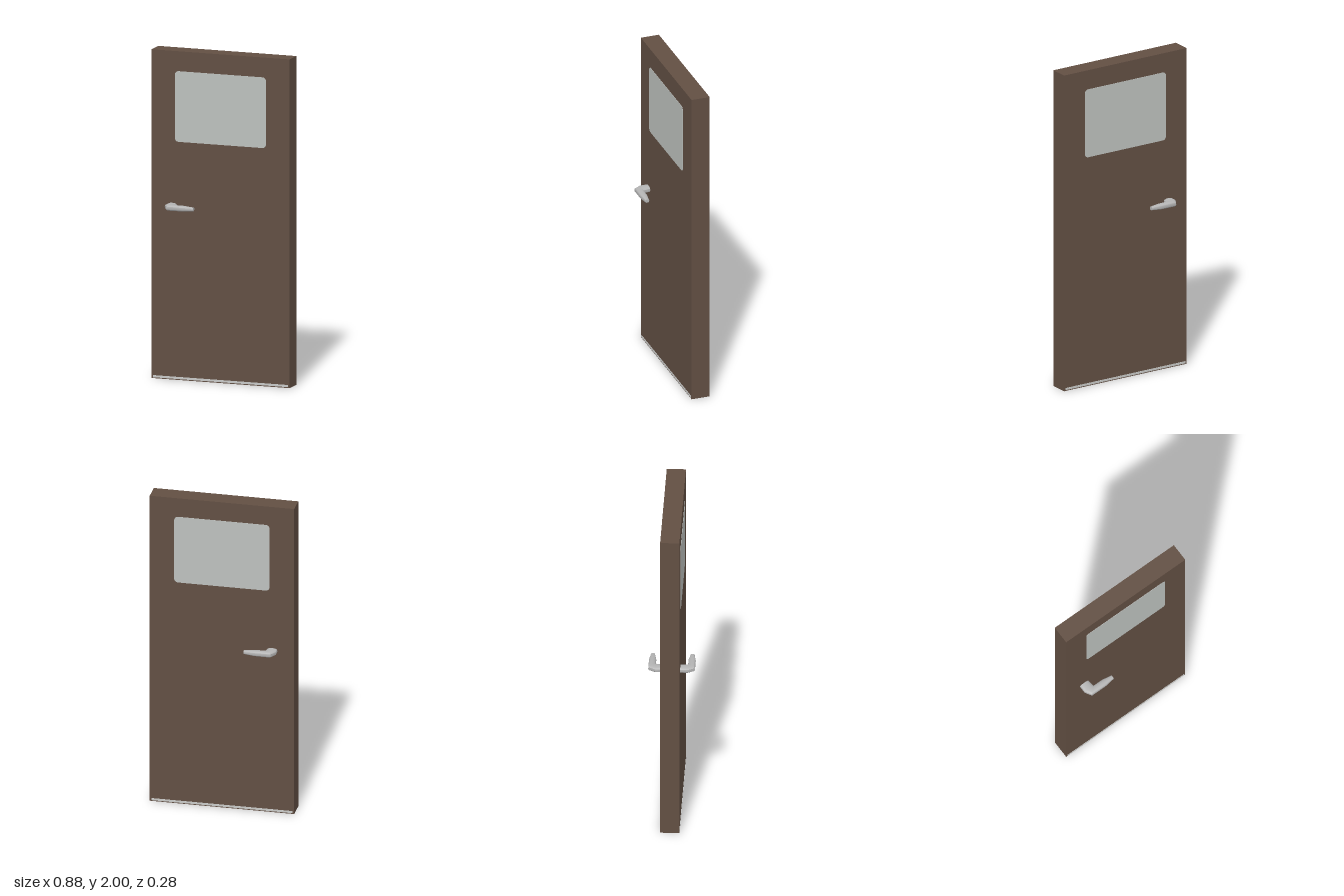
import * as THREE from 'three';
import { toCreasedNormals } from 'three/addons/utils/BufferGeometryUtils.js';

const mat = (name, color) => new THREE.MeshStandardMaterial({ name, color });

const FRONT = 0.052, BACK = -0.063;

// Rounded rectangle centred on the origin
function roundedRect(w, h, r) {
  const s = new THREE.Shape(), x = w / 2, y = h / 2;
  s.moveTo(-x + r, -y);
  s.lineTo(x - r, -y);
  s.absarc(x - r, -y + r, r, -Math.PI / 2, 0);
  s.absarc(x - r, y - r, r, 0, Math.PI / 2);
  s.absarc(-x + r, y - r, r, Math.PI / 2, Math.PI);
  s.absarc(-x + r, -y + r, r, Math.PI, Math.PI * 1.5);
  return s;
}

// Lever handle lofted through rings: [outer x, outer z, inner x, inner z, half height]
function leverGeometry(side, base) {
  const rings = [
    [-0.34, base, -0.278, base, 0.0175],
    [-0.34, 0.098, -0.271, 0.092, 0.0175],
    [-0.315, 0.14, -0.27, 0.096, 0.0175],
    [-0.21, 0.14, -0.21, 0.096, 0.0165],
    [-0.147, 0.131, -0.147, 0.106, 0.0105],
  ];
  const n = 16, pos = [], idx = [];
  const soft = (v) => Math.sign(v) * Math.abs(v) ** 0.75;
  const tri = (a, b, c) => (side > 0 ? idx.push(a, b, c) : idx.push(a, c, b));
  for (const [ox, oz, ix, iz, h] of rings) {
    for (let i = 0; i < n; i++) {
      const a = (i / n) * Math.PI * 2;
      const t = 0.5 + 0.5 * soft(Math.cos(a));
      pos.push(ix + (ox - ix) * t, h * soft(Math.sin(a)), side * (iz + (oz - iz) * t));
    }
  }
  for (let r = 0; r < rings.length - 1; r++) {
    for (let i = 0; i < n; i++) {
      const a = r * n + i, b = r * n + ((i + 1) % n);
      tri(a, a + n, b);
      tri(b, a + n, b + n);
    }
  }
  // End cap at the tip
  const last = (rings.length - 1) * n;
  for (let i = 1; i < n - 1; i++) tri(last, last + i + 1, last + i);

  const g = new THREE.BufferGeometry();
  g.setAttribute('position', new THREE.Float32BufferAttribute(pos, 3));
  g.setIndex(idx);
  // Make sure the faces point outwards
  let volume = 0;
  const p = (i) => new THREE.Vector3().fromArray(pos, i * 3).sub(new THREE.Vector3(-0.309, 0, side * base));
  for (let i = 0; i < idx.length; i += 3) volume += p(idx[i]).dot(p(idx[i + 1]).cross(p(idx[i + 2])));
  if (volume < 0) {
    for (let i = 0; i < idx.length; i += 3) [idx[i + 1], idx[i + 2]] = [idx[i + 2], idx[i + 1]];
    g.setIndex(idx);
  }
  return toCreasedNormals(g, 0.6);
}

export function createModel() {
  const wood = mat('brown panel', 0x624f43);
  const glass = mat('pale glass', 0xbdc1be);
  const metal = mat('handle metal', 0xb4b4b4);
  const trim = mat('pale trim', 0xc9cac8);
  const door = new THREE.Group();
  door.name = 'door';

  const add = (name, geometry, material, x = 0, y = 0, z = 0) => {
    const m = new THREE.Mesh(geometry, material);
    m.name = name;
    m.position.set(x, y, z);
    door.add(m);
  };

  // Door leaf
  add('doorLeaf', new THREE.BoxGeometry(0.884, 2, FRONT - BACK), wood, 0, 1, (FRONT + BACK) / 2);

  // Window pane, bottom seal and lever on each face
  const pane = new THREE.ExtrudeGeometry(roundedRect(0.584, 0.43, 0.024), {
    depth: 0.004, bevelEnabled: false, curveSegments: 6,
  }).translate(0, 0, -0.002);
  const strip = new THREE.BoxGeometry(0.864, 0.013, 0.004);
  for (const [label, side, face] of [['front', 1, FRONT], ['back', -1, BACK]]) {
    add(label + 'Window', pane, glass, 0, 1.664, face);
    add(label + 'BottomSeal', strip, trim, 0, 0.012, face);
    add(label + 'Handle', leverGeometry(side, Math.abs(face) - 0.005), metal, 0, 1.058, 0);
  }
  return door;
}
